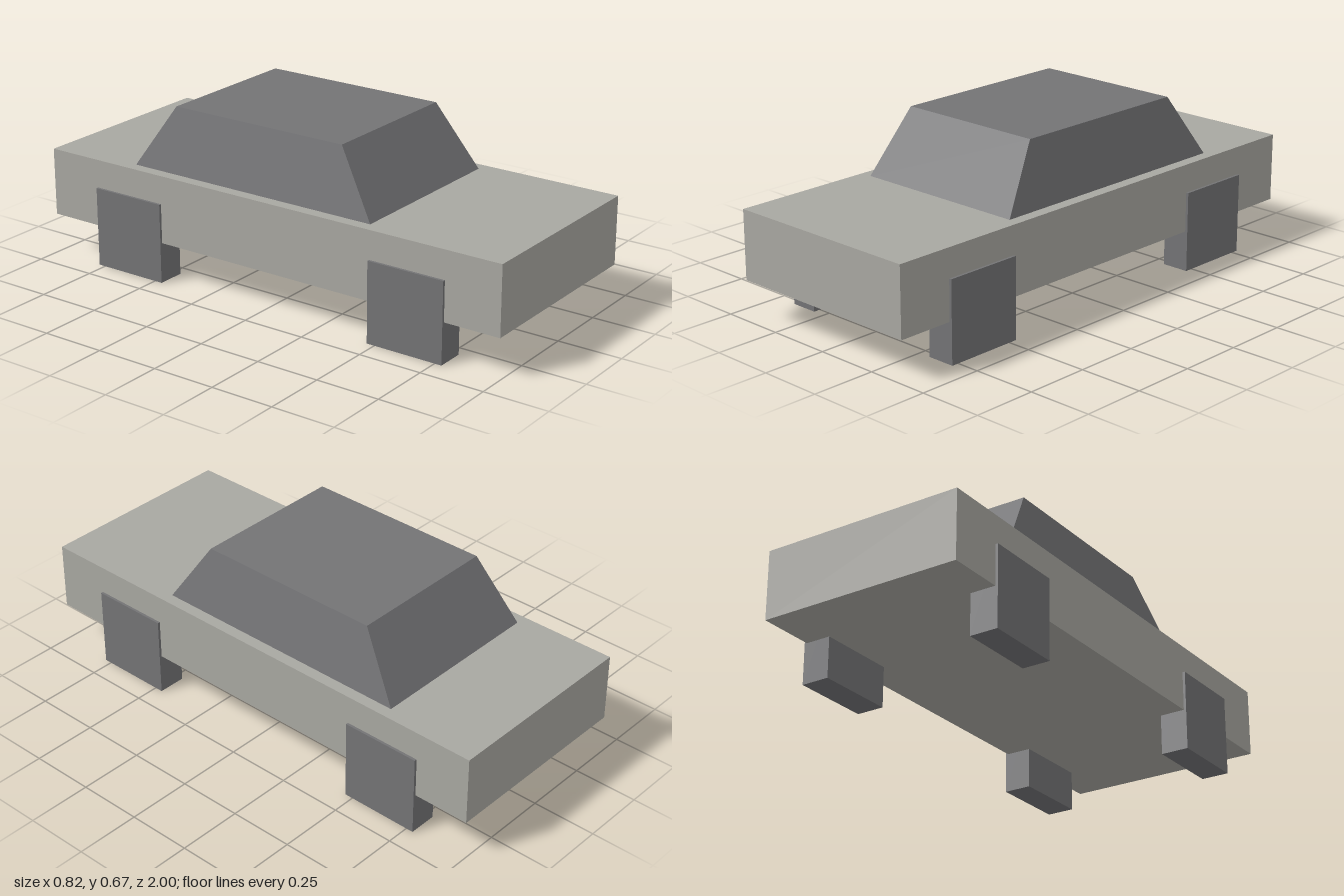
import * as THREE from 'three';

export function createModel() {
  const paint = new THREE.MeshStandardMaterial({ color: 0xa8a7a1 });
  paint.name = 'warm grey paint';
  const dark = new THREE.MeshStandardMaterial({ color: 0x737375 });
  dark.name = 'dark grey';

  const car = new THREE.Group();
  car.name = 'car';

  const addBox = (name, material, size, position) => {
    const mesh = new THREE.Mesh(new THREE.BoxGeometry(...size), material);
    mesh.name = name;
    mesh.position.set(...position);
    car.add(mesh);
    return mesh;
  };

  // Slab body
  addBox('body', paint, [0.8, 0.266, 2], [0, 0.29, 0]);

  // Cabin: a box whose top corners are drawn in on all four sides
  const cabin = addBox('cabin', dark, [0.71, 0.244, 1.064], [0, 0.545, -0.091]);
  const p = cabin.geometry.attributes.position;
  for (let i = 0; i < p.count; i++) {
    if (p.getY(i) > 0) {
      p.setX(i, Math.sign(p.getX(i)) * 0.301);
      p.setZ(i, Math.sign(p.getZ(i)) * 0.373);
    }
  }
  cabin.geometry = cabin.geometry.toNonIndexed();
  cabin.geometry.computeVertexNormals();

  // Square wheels, standing slightly proud of the body sides
  for (const [end, z] of [['front', 0.623], ['rear', -0.623]]) {
    for (const [side, x] of [['Left', 0.355], ['Right', -0.355]]) {
      addBox(`${end}${side}Wheel`, dark, [0.11, 0.312, 0.31], [x, 0.156, z]);
    }
  }

  return car;
}
